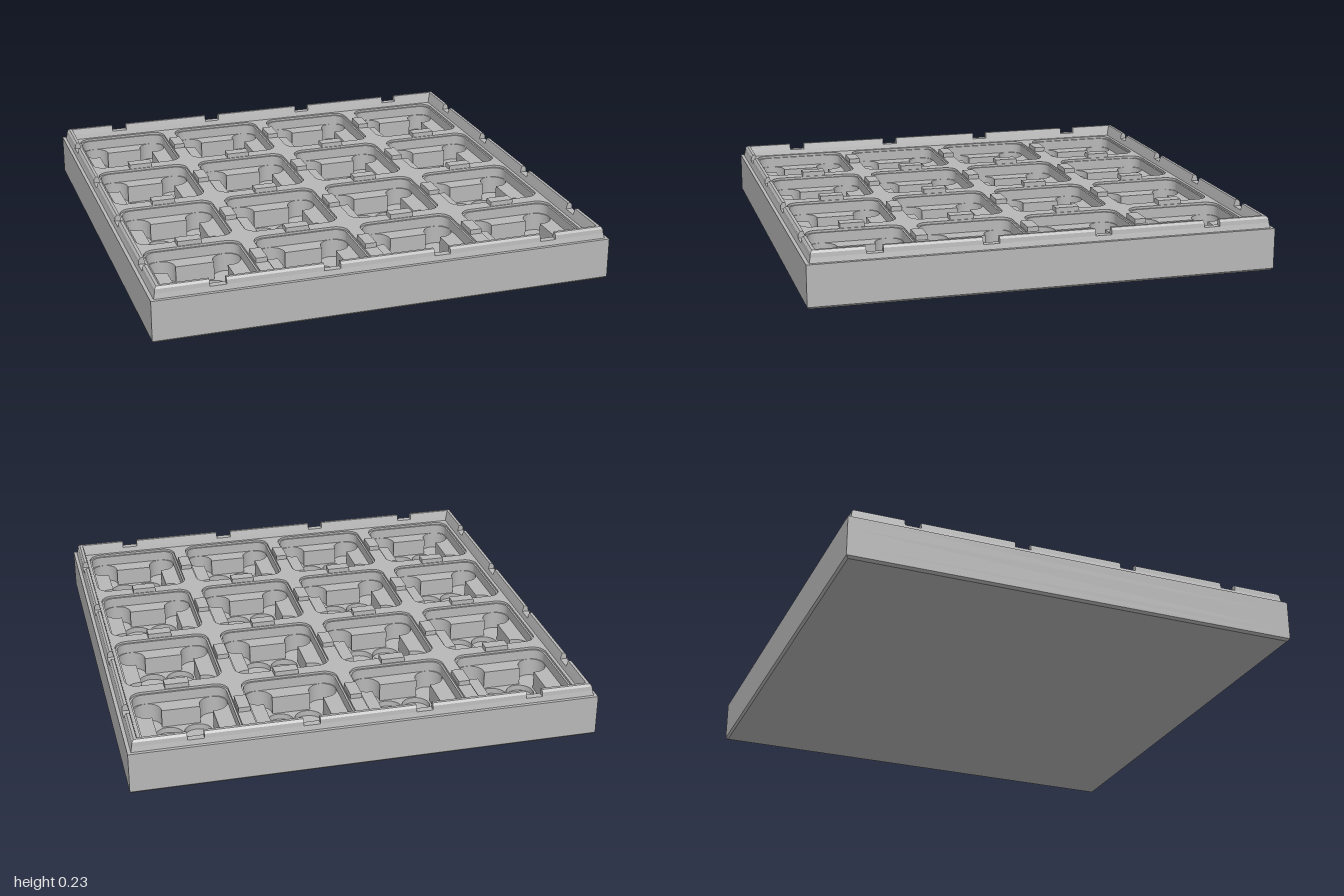
import * as THREE from 'three';

const CELLS = [-0.72, -0.24, 0.24, 0.72];
const JOINTS = [-0.48, 0, 0.48];

// Square outline with rounded corners
function roundedSquare(P, cx, cy, h, r) {
  const p = new P(), c = h - r;
  p.absarc(cx + c, cy + c, r, 0, Math.PI / 2);
  p.absarc(cx - c, cy + c, r, Math.PI / 2, Math.PI);
  p.absarc(cx - c, cy - c, r, Math.PI, Math.PI * 1.5);
  p.absarc(cx + c, cy - c, r, Math.PI * 1.5, Math.PI * 2);
  p.closePath();
  return p;
}

// Square recess with a round ear at each corner
function earedSquare(cx, cy) {
  const p = new THREE.Path(), h = 0.13, e = 0.142, r = 0.06;
  const s = Math.sqrt(r * r - (e - h) ** 2);
  const a0 = Math.atan2(-s, h - e), a1 = Math.atan2(h - e, -s) + Math.PI * 2;
  for (let k = 0; k < 4; k++) {
    const q = k * Math.PI / 2, m = q + Math.PI / 4, d = e * Math.SQRT2;
    p.absarc(cx + d * Math.cos(m), cy + d * Math.sin(m), r, a0 + q, a1 + q);
  }
  p.closePath();
  return p;
}

// Square plate with holes, spanning heights y0 to y1
function layer(y0, y1, addHoles) {
  const s = new THREE.Shape([[-1, -1], [1, -1], [1, 1], [-1, 1]].map(([x, y]) => new THREE.Vector2(x, y)));
  for (const x of CELLS) for (const y of CELLS) s.holes.push(...addHoles(x, y));
  const g = new THREE.ExtrudeGeometry(s, { depth: y1 - y0, bevelEnabled: false, curveSegments: 14 });
  return g.rotateX(-Math.PI / 2).translate(0, y0, 0);
}

// Rim piece from a (distance from centre, height) profile; ends at the corners are mitred
function rimPiece(profile, a, b) {
  const s = new THREE.Shape(profile.map(([d, y]) => new THREE.Vector2(d, y)));
  const g = new THREE.ExtrudeGeometry(s, { depth: b - a, bevelEnabled: false }).translate(0, 0, a);
  const p = g.attributes.position;
  for (let i = 0; i < p.count; i++) {
    if (Math.abs(p.getZ(i)) > 0.9) p.setZ(i, Math.sign(p.getZ(i)) * p.getX(i));
  }
  g.computeVertexNormals();
  return g;
}

export function createModel() {
  const model = new THREE.Group();
  const grey = new THREE.MeshStandardMaterial({ color: 0xb8b8b8 });
  const add = (name, geo, parent = model) => {
    const m = new THREE.Mesh(geo, grey);
    m.name = name;
    parent.add(m);
    return m;
  };

  // Floor slab with a small chamfer underneath
  const chamfer = new THREE.CylinderGeometry(Math.SQRT2, 0.99 * Math.SQRT2, 0.01, 4).toNonIndexed();
  chamfer.computeVertexNormals();
  add('baseChamfer', chamfer.rotateY(Math.PI / 4).translate(0, 0.005, 0));
  add('floorSlab', new THREE.BoxGeometry(2, 0.015, 2).translate(0, 0.0175, 0));

  // Stepped recesses: four round wells, eared square, rounded pocket, widened mouth
  add('wellLayer', layer(0.025, 0.05, (x, y) => [[-1, -1], [1, -1], [1, 1], [-1, 1]].map(([i, j]) =>
    new THREE.Path().absarc(x + i * 0.062, y + j * 0.062, 0.06, 0, Math.PI * 2))));
  add('earedRecessLayer', layer(0.05, 0.13, (x, y) => [earedSquare(x, y)]));
  add('pocketLayer', layer(0.13, 0.175, (x, y) => [roundedSquare(THREE.Path, x, y, 0.203, 0.05)]));
  add('pocketMouthLayer', layer(0.175, 0.185, (x, y) => [roundedSquare(THREE.Path, x, y, 0.211, 0.055)]));

  // Notched rim around the edge
  const lower = [[0.945, 0.185], [0.985, 0.185], [0.98, 0.207], [0.95, 0.207]];
  const upper = [[0.95, 0.207], [0.98, 0.207], [0.978, 0.225], [0.97, 0.235], [0.957, 0.235]];
  const cuts = [-1, ...CELLS.flatMap(c => [c - 0.035, c + 0.035]), 1];
  for (let k = 0; k < 4; k++) {
    const side = new THREE.Group();
    side.name = 'rimSide';
    side.rotation.y = k * Math.PI / 2;
    add('rimFoot', rimPiece(lower, -1, 1), side);
    for (let i = 0; i < cuts.length; i += 2) add('rimSegment', rimPiece(upper, cuts[i], cuts[i + 1]), side);
    model.add(side);
  }

  // Locating tabs on the ribs between pockets
  for (const j of JOINTS) for (const c of CELLS) {
    add('ribTab', new THREE.BoxGeometry(0.05, 0.022, 0.105)).position.set(j, 0.195, c);
    add('ribTab', new THREE.BoxGeometry(0.105, 0.022, 0.05)).position.set(c, 0.195, j);
  }
  return model;
}
